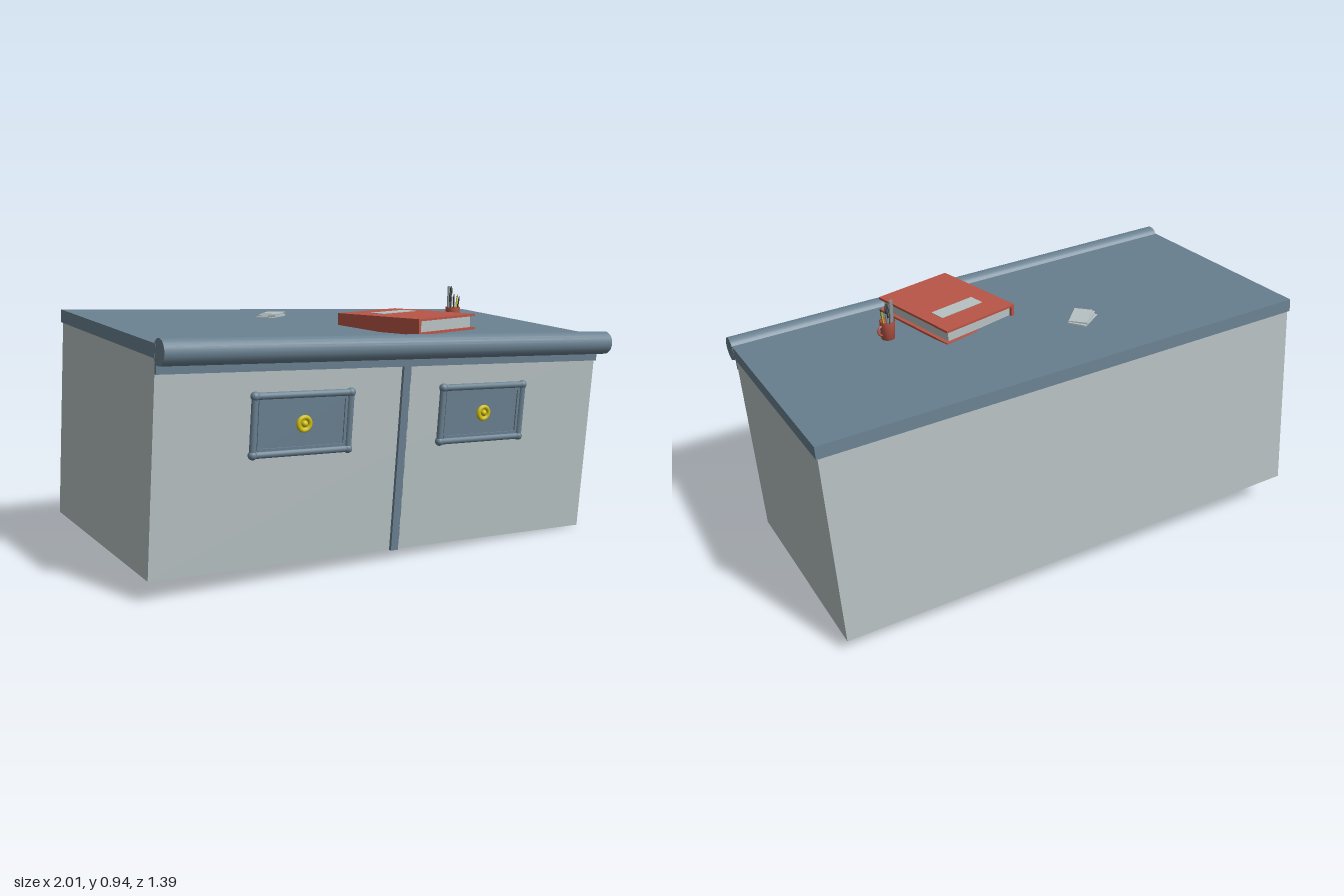
import * as THREE from 'three';

const mat = (name, color) => {
  const m = new THREE.MeshStandardMaterial({ color });
  m.name = name;
  return m;
};

export function createModel() {
  const root = new THREE.Group();
  root.name = 'desk';
  const grey = mat('pale grey', 0xb7c1c2);
  const blue = mat('slate blue', 0x6a8191);
  const red = mat('brick red', 0xb85546);
  const yellow = mat('brass yellow', 0xd2c012);
  const dark = mat('dark grey', 0x3a4042);
  const silver = mat('steel', 0x8a9496);

  const add = (parent, name, geo, material, x = 0, y = 0, z = 0) => {
    const m = new THREE.Mesh(geo, material);
    m.name = name;
    m.position.set(x, y, z);
    parent.add(m);
    return m;
  };
  const box = (parent, name, material, w, h, d, x, y, z) =>
    add(parent, name, new THREE.BoxGeometry(w, h, d), material, x, y, z);
  const group = (parent, name, x = 0, y = 0, z = 0) => {
    const g = new THREE.Group();
    g.name = name;
    g.position.set(x, y, z);
    parent.add(g);
    return g;
  };
  // Cylinder running between two points
  const rod = (parent, name, material, a, b, r, r2 = r, sides = 16) => {
    const p = new THREE.Vector3(...a), d = new THREE.Vector3(...b).sub(p);
    const m = add(parent, name, new THREE.CylinderGeometry(r2, r, d.length(), sides), material);
    m.position.copy(p).addScaledVector(d, 0.5);
    m.quaternion.setFromUnitVectors(new THREE.Vector3(0, 1, 0), d.normalize());
    return m;
  };

  // Desk frame, turned and slightly tilted; origin at the bottom centre
  const desk = group(root, 'cabinet', -0.015, 0.059, -0.065);
  const ax = new THREE.Vector3(0.967, -0.04, 0.252).normalize();
  const ay = new THREE.Vector3(0.025, 0.997, 0.062);
  const az = new THREE.Vector3().crossVectors(ax, ay).normalize();
  ay.crossVectors(az, ax);
  desk.quaternion.setFromRotationMatrix(new THREE.Matrix4().makeBasis(ax, ay, az));

  box(desk, 'body', grey, 1.82, 0.712, 0.838, 0, 0.356, 0);
  box(desk, 'top', blue, 1.832, 0.046, 0.855, 0, 0.734, 0.003);
  rod(desk, 'frontRoll', blue, [-0.915, 0.734, 0.457], [0.917, 0.734, 0.457], 0.043, 0.043, 24);
  box(desk, 'frontStrip', blue, 1.82, 0.054, 0.012, 0, 0.688, 0.425);
  box(desk, 'divider', blue, 0.03, 0.7, 0.012, 0.024, 0.35, 0.425);
  for (let i = 0; i < 8; i++)
    box(desk, 'dividerNotch', blue, 0.006, 0.045, 0.008, 0.041, 0.06 + i * 0.08, 0.422);

  // Drawers with rounded rails, corner balls and ring pulls
  for (const x of [-0.383, 0.369]) {
    const d = group(desk, 'drawer', x, 0.483, 0.419);
    const w = 0.182, h = 0.097, z = 0.01;
    box(d, 'drawerPanel', blue, 2 * w, 2 * h, 0.012, 0, 0, 0.004);
    for (const s of [-1, 1]) {
      rod(d, 'rail', blue, [-w, s * h, z], [w, s * h, z], 0.012);
      rod(d, 'stile', blue, [s * w, -h, z], [s * w, h, z], 0.012);
      box(d, 'innerRail', blue, 2 * w - 0.03, 0.01, 0.008, 0, s * (h - 0.015), 0.011);
      box(d, 'innerStile', blue, 0.01, 2 * h - 0.03, 0.008, s * (w - 0.018), 0, 0.011);
      for (const t of [-1, 1])
        add(d, 'cornerBall', new THREE.SphereGeometry(0.016, 16, 12), blue, s * w, t * h, z);
    }
    const plate = add(d, 'knobPlate', new THREE.CylinderGeometry(0.024, 0.024, 0.012, 24), yellow, 0, 0, 0.014);
    plate.rotation.x = Math.PI / 2;
    add(d, 'knobRing', new THREE.TorusGeometry(0.022, 0.008, 10, 24), yellow, 0, 0, 0.02);
    add(d, 'knobCentre', new THREE.SphereGeometry(0.011, 16, 12), yellow, 0, 0, 0.022);
  }

  // Book lying flat, spine on the -x side
  const book = group(root, 'book', 0.115, 0.8, 0.22);
  for (const y of [0.004, 0.052]) box(book, 'cover', red, 0.32, 0.008, 0.385, 0, y, 0);
  box(book, 'spine', red, 0.012, 0.056, 0.385, -0.154, 0.028, 0);
  box(book, 'pages', grey, 0.295, 0.04, 0.36, -0.002, 0.028, 0);
  box(book, 'label', grey, 0.19, 0.002, 0.06, 0.01, 0.057, -0.072);

  // Open cup with a handle
  const cup = group(root, 'cup', 0.384, 0.797, 0.224);
  const profile = [[0, 0], [0.024, 0], [0.028, 0.068], [0.025, 0.068], [0.022, 0.006], [0, 0.006]]
    .map(p => new THREE.Vector2(...p));
  add(cup, 'cupBody', new THREE.LatheGeometry(profile, 24), red);
  const handle = add(cup, 'cupHandle', new THREE.TorusGeometry(0.017, 0.004, 8, 16, Math.PI), red, 0.024, 0.036, 0);
  handle.rotation.z = -Math.PI / 2;

  // Pencils
  const pencils = [
    [-0.012, 0.012, 0.11, dark], [0.006, 0.014, 0.1, dark],
    [0.012, 0.004, 0.105, yellow], [-0.008, -0.004, 0.112, dark],
  ];
  for (const [x, z, h, m] of pencils) {
    const tip = [x * 1.5, h, z * 1.6];
    rod(cup, 'pencil', m, [x * 0.6, 0.01, z * 0.6], tip, 0.003, 0.003, 6);
    rod(cup, 'pencilTip', dark, tip, [x * 1.55, h + 0.01, z * 1.65], 0.003, 0.0005, 6);
  }
  // Ruler and scissors
  const ruler = box(cup, 'ruler', silver, 0.018, 0.135, 0.004, -0.011, 0.079, -0.012);
  ruler.rotation.y = 0.3;
  for (const s of [-1, 1]) {
    rod(cup, 'scissorBlade', silver, [0.006 - s * 0.004, 0.01, -0.012], [0.012 + s * 0.006, 0.105, -0.018], 0.003);
    const ring = add(cup, 'scissorRing', new THREE.TorusGeometry(0.011, 0.003, 8, 18), dark,
      0.013 + s * 0.007, 0.116 + s * 0.011, -0.02 - s * 0.004);
    ring.scale.y = 1.3;
    ring.rotation.y = 0.8;
  }

  // Loose stack of cards
  const cards = group(root, 'cards', -0.163, 0.838, -0.2);
  for (let i = 0; i < 4; i++) {
    const c = box(cards, 'card', grey, 0.108, 0.003, 0.066, (i % 2) * 0.006 - 0.003, i * 0.0042, 0.002 * i - 0.003);
    c.rotation.y = 0.36 + i * 0.07;
  }
  return root;
}
